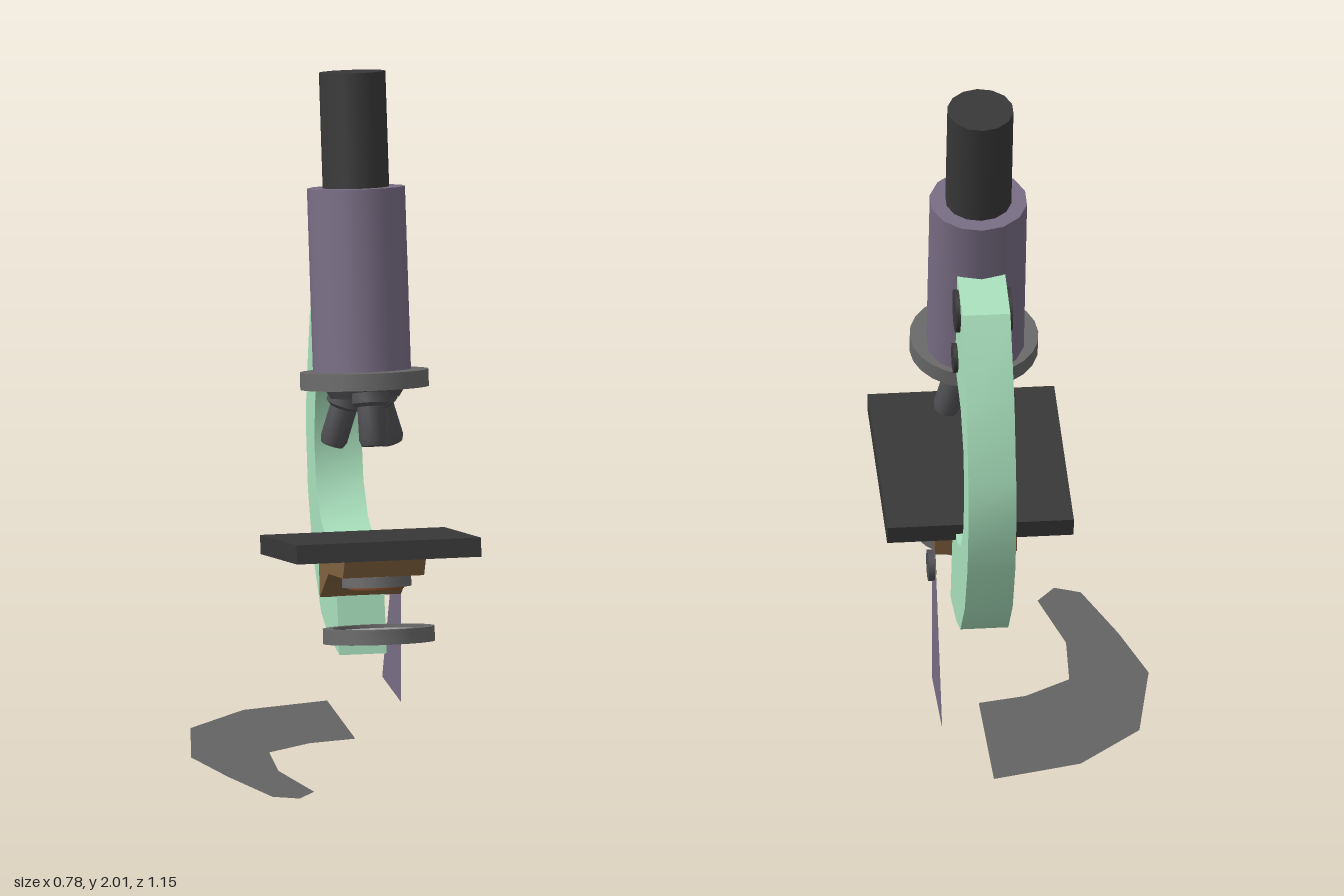
import * as THREE from 'three';
import { toCreasedNormals } from 'three/addons/utils/BufferGeometryUtils.js';

const CX = 0.12;      // middle plane of the instrument
const TILT = -0.19;   // backward lean of tube and stage

const paint = (color, side = THREE.FrontSide) => {
  const m = new THREE.MeshStandardMaterial({ side });
  m.color.set(color);
  return m;
};

export function createModel() {
  const model = new THREE.Group();
  const green = paint(0xa8e0bc), purple = paint(0x786d84), black = paint(0x383838);
  const steel = paint(0x696969), dark = paint(0x505054), brown = paint(0x80623f);
  const amber = paint(0x8a4a28), glass = paint(0xa0a0a0);

  const add = (name, geometry, material, parent = model) => {
    const mesh = new THREE.Mesh(geometry, material);
    mesh.name = name;
    parent.add(mesh);
    return mesh;
  };
  const points = (list) => list.map(([a, b]) => new THREE.Vector2(a, b));

  // side profile given as [z, y], extruded from x0 to x1
  const sideProfile = (list, x0, x1) => {
    const shape = new THREE.Shape(points(list.map(([z, y]) => [-z, y])));
    const geo = new THREE.ExtrudeGeometry(shape, { depth: x1 - x0, bevelEnabled: false });
    geo.rotateY(Math.PI / 2).translate(x0, 0, 0);
    return toCreasedNormals(geo, 0.65);
  };

  // round bar along x
  const crossPin = (name, r, x0, x1, y, z, material) => {
    const geo = new THREE.CylinderGeometry(r, r, x1 - x0, 20);
    geo.rotateZ(Math.PI / 2).translate((x0 + x1) / 2, y, z);
    return add(name, geo, material);
  };

  // group leaning with the tube
  const leaning = (name, y, z) => {
    const g = new THREE.Group();
    g.name = name;
    g.position.set(CX, y, z);
    g.rotation.x = TILT;
    model.add(g);
    return g;
  };

  // flat half of the foot
  const foot = new THREE.ShapeGeometry(new THREE.Shape(points([
    [0.12, 0.58], [-0.14, 0.51], [-0.33, 0.32], [-0.39, -0.03], [-0.325, -0.28],
    [-0.24, -0.54], [-0.165, -0.575], [-0.11, -0.5], [-0.168, -0.235],
    [-0.156, -0.01], [-0.02, 0.08], [0.12, 0.11],
  ])));
  foot.rotateX(-Math.PI / 2);
  add('foot', foot, paint(0x636363, THREE.DoubleSide));

  // thin side support with its pivot knob
  const support = new THREE.ShapeGeometry(new THREE.Shape(points([
    [0.125, 0.1], [0.44, 0.1], [0.262, 0.49], [0.235, 0.54], [0.19, 0.555], [0.145, 0.54], [0.122, 0.5],
  ])));
  support.rotateY(Math.PI / 2).translate(0.258, 0, 0);
  add('support', support, paint(0x786d84, THREE.DoubleSide));
  crossPin('pivotKnob', 0.046, 0.255, 0.276, 0.5, -0.18, dark);

  // curved arm
  add('arm', sideProfile([
    [0.02, 0.285], [-0.16, 0.3], [-0.285, 0.34], [-0.42, 0.48], [-0.505, 0.655],
    [-0.54, 0.845], [-0.53, 0.95], [-0.475, 1.185], [-0.35, 1.41], [-0.19, 1.455],
    [-0.11, 1.4], [-0.09, 1.14], [-0.13, 1.125], [-0.295, 1.07], [-0.38, 0.97],
    [-0.4, 0.835], [-0.37, 0.71], [-0.295, 0.62], [-0.205, 0.58], [-0.055, 0.58],
  ], 0.05, 0.19), green);
  crossPin('focusKnob', 0.063, 0.037, 0.203, 1.365, -0.235, black);
  crossPin('fineFocusKnob', 0.044, 0.037, 0.203, 1.18, -0.178, black);

  // body tube, eyepiece and nosepiece
  const tube = leaning('tubeAssembly', 1.12, 0.003);
  add('bodyTube', new THREE.CylinderGeometry(0.143, 0.143, 0.546, 14), purple, tube).position.y = 0.273;
  add('eyepiece', new THREE.CylinderGeometry(0.097, 0.097, 0.36, 14), black, tube).position.y = 0.703;
  add('nosepiece', new THREE.CylinderGeometry(0.188, 0.188, 0.05, 24), steel, tube).position.set(0, -0.012, 0.036);
  add('nosepieceHub', new THREE.CylinderGeometry(0.12, 0.1, 0.03, 20), dark, tube).position.set(0, -0.05, 0.036);

  // three objectives splayed outward
  const lensProfile = points([[0, 0], [0.033, 0], [0.04, 0.018], [0.04, 0.115], [0.055, 0.125], [0.055, 0.155], [0, 0.16]]);
  for (const [dx, top, tip] of [[0, [1.1, 0.14], [0.95, 0.188]], [0.04, [1.07, 0], [0.912, 0]], [-0.04, [1.07, 0], [0.912, 0]]]) {
    const a = new THREE.Vector3(CX + dx * 2.2, ...tip);
    const b = new THREE.Vector3(CX + dx, ...top);
    const lens = add('objective', toCreasedNormals(new THREE.LatheGeometry(lensProfile, 14), 0.6), dark);
    lens.position.copy(a);
    lens.quaternion.setFromUnitVectors(new THREE.Vector3(0, 1, 0), b.sub(a).normalize());
  }

  // stage and its bracket
  const stage = leaning('stageAssembly', 0.644, 0.159);
  add('stage', new THREE.BoxGeometry(0.545, 0.056, 0.62), black, stage).position.x = -0.002;
  add('stageBracket', sideProfile([
    [0.395, 0.665], [0.36, 0.6], [0.12, 0.555], [-0.025, 0.45], [-0.045, 0.585],
  ], 0, 0.24), brown);

  // condenser below the stage
  const condenser = leaning('condenser', 0.56, 0.245);
  add('condenserRing', new THREE.CylinderGeometry(0.102, 0.102, 0.032, 20), steel, condenser);
  add('condenserLens', new THREE.CylinderGeometry(0.085, 0.08, 0.02, 20), amber, condenser).position.y = -0.013;

  // mirror: ring, recessed disc and rod to the arm
  const mirror = leaning('mirrorAssembly', 0.408, 0.283);
  const ring = new THREE.LatheGeometry(points([
    [0.135, -0.022], [0.163, -0.022], [0.163, 0.022], [0.135, 0.022], [0.135, -0.022],
  ]), 28);
  add('mirrorRing', toCreasedNormals(ring, 0.6), steel, mirror);
  add('mirror', new THREE.CylinderGeometry(0.137, 0.137, 0.024, 28), glass, mirror);
  const rod = add('mirrorRod', new THREE.CylinderGeometry(0.013, 0.013, 0.17, 10), black, mirror);
  rod.rotation.x = Math.PI / 2;
  rod.position.z = -0.225;

  return model;
}
